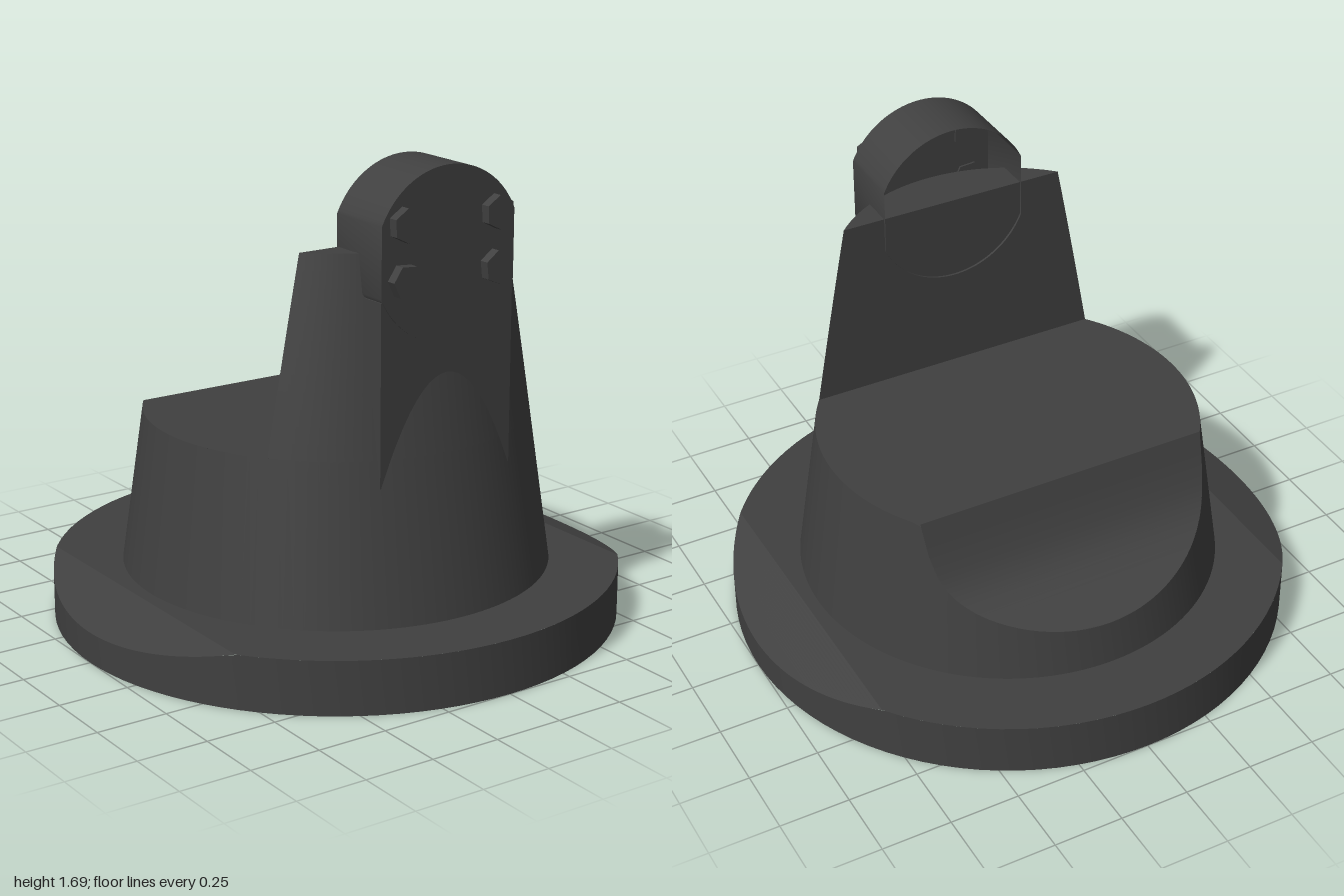
import * as THREE from 'three';
import { toCreasedNormals } from 'three/addons/utils/BufferGeometryUtils.js';

const BASE_Y = 0.19, DECK_Y = 0.743, WALL_Y = 1.41, WALL_Z = 0.4;
const coneR = (y) => 0.755 - 0.145 * (y - BASE_Y);
const lerp = THREE.MathUtils.lerp;

// Surface sampled on a nu x nv grid; fn(u, v) returns [x, y, z]
function grid(nu, nv, fn) {
  const pos = [], idx = [];
  for (let j = 0; j <= nv; j++)
    for (let i = 0; i <= nu; i++) pos.push(...fn(i / nu, j / nv));
  for (let j = 0; j < nv; j++)
    for (let i = 0; i < nu; i++) {
      const a = j * (nu + 1) + i, b = a + 1, c = a + nu + 1, d = c + 1;
      idx.push(a, b, c, b, d, c);
    }
  const g = new THREE.BufferGeometry();
  g.setAttribute('position', new THREE.Float32BufferAttribute(pos, 3));
  g.setIndex(idx);
  return toCreasedNormals(g, 0.5);
}

export function createModel() {
  const dark = new THREE.MeshStandardMaterial({ color: 0x404040, side: THREE.DoubleSide });
  dark.name = 'dark grey';
  const model = new THREE.Group();
  const add = (name, geo, parent = model) => {
    const m = new THREE.Mesh(geo, dark);
    m.name = name;
    parent.add(m);
    return m;
  };

  // Base: open-bottomed round plate with its two sides sloped off
  const plateY = (x) => BASE_Y - Math.max(0, Math.abs(x) - 0.8) * 0.4;
  add('baseRim', grid(96, 1, (u, v) => {
    const a = u * Math.PI * 2, x = Math.sin(a);
    return [x, v * plateY(x), Math.cos(a)];
  }));
  const edge = Math.asin(0.8);
  const bands = [['baseSlopeRight', -Math.PI / 2, -edge], ['baseTop', -edge, edge], ['baseSlopeLeft', edge, Math.PI / 2]];
  for (const [name, a0, a1] of bands)
    add(name, grid(1, 32, (u, v) => {
      const a = lerp(a0, a1, v), x = Math.sin(a);
      return [x, plateY(x), (2 * u - 1) * Math.cos(a)];
    }));

  // Scoop profile at the back of the body, as (z, y)
  const scoop = new THREE.SplineCurve([
    [-0.4, DECK_Y], [-0.445, 0.615], [-0.5, 0.515], [-0.585, 0.435], [-0.7325, 0.345],
  ].map((p) => new THREE.Vector2(...p))).getPoints(32);
  const cutY = (z) => {
    if (z >= scoop[0].x) return DECK_Y;
    for (let i = 1; i < scoop.length; i++) {
      const a = scoop[i - 1], b = scoop[i];
      if (z >= b.x) return lerp(a.y, b.y, (z - a.x) / (b.x - a.x));
    }
    return scoop[scoop.length - 1].y;
  };
  // Height at which the cone side meets the deck or scoop
  const sideTop = (a) => {
    let lo = BASE_Y, hi = DECK_Y;
    for (let k = 0; k < 30; k++) {
      const y = (lo + hi) / 2;
      if (y < cutY(coneR(y) * Math.cos(a))) lo = y; else hi = y;
    }
    return hi;
  };
  const halfWidth = (y, z) => Math.sqrt(Math.max(0, coneR(y) ** 2 - z * z));

  // Tapered body
  add('bodySide', grid(128, 1, (u, v) => {
    const a = u * Math.PI * 2, y = lerp(BASE_Y, sideTop(a), v), r = coneR(y);
    return [r * Math.sin(a), y, r * Math.cos(a)];
  }));
  add('bodyDeck', grid(48, 1, (u, v) => {
    const z = lerp(-0.4, WALL_Z, u);
    return [(2 * v - 1) * halfWidth(DECK_Y, z), DECK_Y, z];
  }));
  add('bodyScoop', grid(32, 1, (u, v) => {
    const p = scoop[Math.round((1 - u) * 32)];
    return [(2 * v - 1) * halfWidth(p.y, p.x), p.y, p.x];
  }));

  // Upright wall: curved front, flat back and flat top
  add('wallFront', grid(48, 12, (u, v) => {
    const y = lerp(DECK_Y, WALL_Y, v), r = coneR(y);
    const a = (2 * u - 1) * Math.acos(WALL_Z / r);
    return [r * Math.sin(a), y, r * Math.cos(a)];
  }));
  add('wallBack', grid(12, 1, (u, v) => {
    const y = lerp(DECK_Y, WALL_Y, u);
    return [(2 * v - 1) * halfWidth(y, WALL_Z), y, WALL_Z];
  }));
  add('wallTop', grid(1, 48, (u, v) => {
    const r = coneR(WALL_Y), a = (2 * v - 1) * Math.acos(WALL_Z / r);
    return [r * Math.sin(a), WALL_Y, lerp(WALL_Z, r * Math.cos(a), u)];
  }));

  // Pad filling the front below the housing
  const pad = add('frontPad', new THREE.BoxGeometry(0.528, 0.62, 0.187));
  pad.position.set(0, 0.96, 0.5435);

  // Housing: round shell with flattened sides, open at the back
  const W = 0.265, R = 0.29, C = 1.4, corner = Math.acos(W / R);
  const outline = new THREE.Shape();
  outline.absarc(0, C, R, corner, Math.PI - corner, false);
  outline.absarc(0, C, R, Math.PI + corner, 2 * Math.PI - corner, false);
  outline.closePath();
  const ring = outline.getPoints(24);
  if (!ring[0].equals(ring[ring.length - 1])) ring.push(ring[0].clone());
  const n = ring.length - 1;
  const housing = new THREE.Group();
  housing.name = 'housing';
  model.add(housing);
  add('housingShell', grid(n, 1, (u, v) => {
    const p = ring[Math.round(u * n)];
    return [p.x, p.y, lerp(0.64, 0.392, v)];
  }), housing);
  add('housingFace', new THREE.ShapeGeometry(outline, 24), housing).position.z = 0.64;

  // Hexagonal bolt heads
  for (const [x, y, turn] of [[-0.183, 1.517, 0.06], [0.183, 1.517, 0.06], [-0.183, 1.335, 0.45], [0.183, 1.335, 0.12]]) {
    const hex = new THREE.CylinderGeometry(0.058, 0.058, 0.042, 6).toNonIndexed();
    hex.computeVertexNormals();
    hex.rotateX(Math.PI / 2).rotateZ(turn);
    add('bolt', hex, housing).position.set(x, y, 0.654);
  }
  return model;
}
